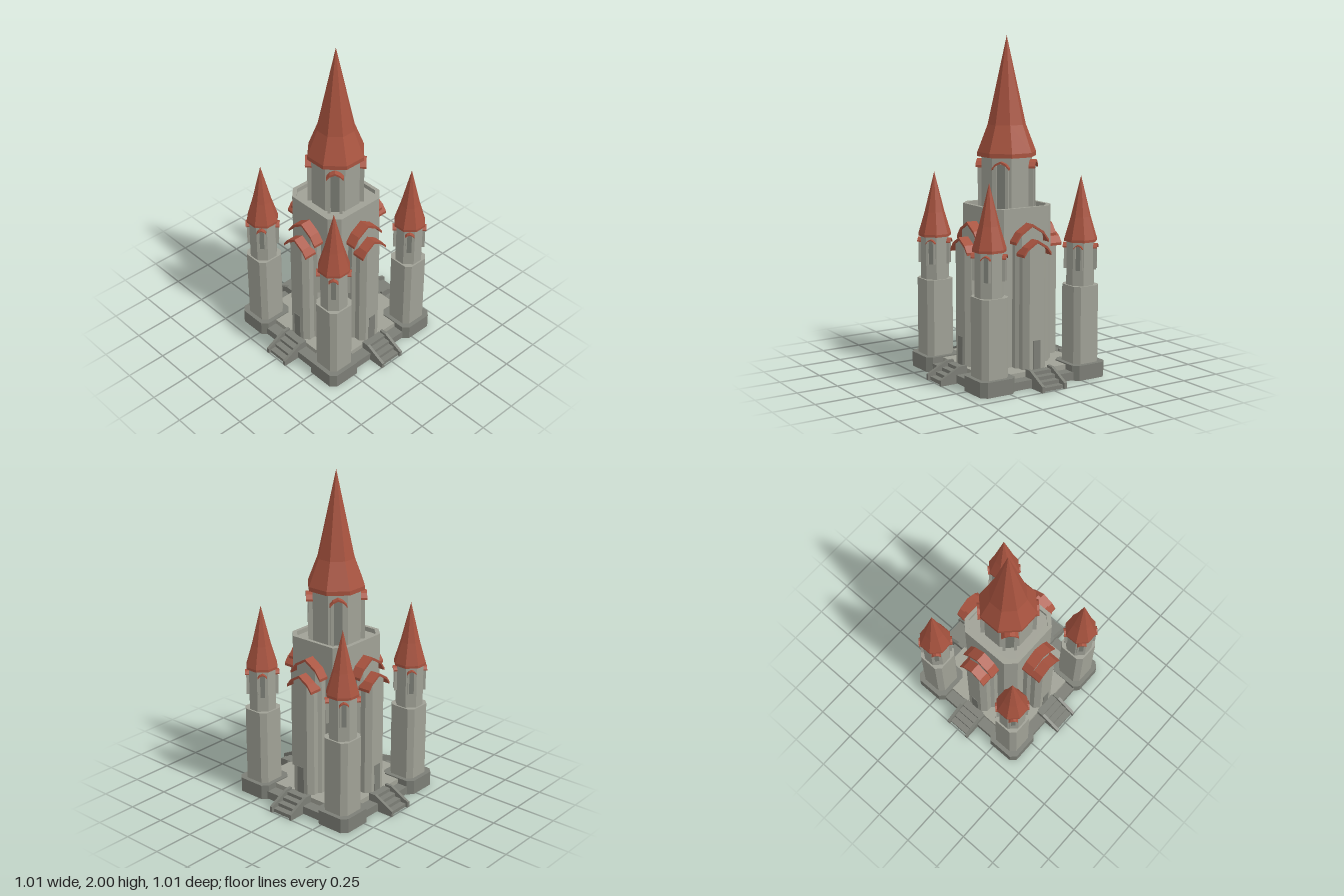
import * as THREE from 'three';

const mat = (color) => new THREE.MeshStandardMaterial({ color, flatShading: true });
const LIGHT = mat(0xa0a196), DARK = mat(0x7c7e76), RED = mat(0xa8533f);

function add(parent, name, geometry, material) {
  const mesh = new THREE.Mesh(geometry, material);
  mesh.name = name;
  parent.add(mesh);
  return mesh;
}

function box(parent, name, material, x, y0, y1, z0, z1, width) {
  const mesh = add(parent, name, new THREE.BoxGeometry(width, y1 - y0, z1 - z0), material);
  mesh.position.set(x, (y0 + y1) / 2, (z0 + z1) / 2);
  return mesh;
}

// Square outline with cut corners
function cutSquare(Type, h, c) {
  const k = h - c;
  const pts = [[h, -k], [h, k], [k, h], [-k, h], [-h, k], [-h, -k], [-k, -h], [k, -h]];
  return new Type(pts.map(([x, y]) => new THREE.Vector2(x, y)));
}

// Upright prism from a plan shape (shape y is -z)
function prism(shape, y0, y1) {
  const g = new THREE.ExtrudeGeometry(shape, { depth: y1 - y0, bevelEnabled: false });
  return g.rotateX(-Math.PI / 2).translate(0, y0, 0);
}
const cutPrism = (h, c, y0, y1) => prism(cutSquare(THREE.Shape, h, c), y0, y1);
const octagon = (h, y0, y1) => cutPrism(h, h * (1 - Math.tan(Math.PI / 8)), y0, y1);

// Eight-sided spire; profile of [flat-side radius, height]
function spire(profile) {
  const k = 1 / Math.cos(Math.PI / 8);
  return new THREE.LatheGeometry(profile.map(([r, y]) => new THREE.Vector2(r * k, y)), 8, Math.PI / 8);
}

// Folded roof strip running along z; half profile from ridge to eave
function foldedRoof(half, thick, z0, z1) {
  const top = [...half.slice(1).reverse().map(([x, y]) => [-x, y]), ...half];
  const low = top.map(([x, y]) => [x, y - thick]).reverse();
  const shape = new THREE.Shape([...top, ...low].map(([x, y]) => new THREE.Vector2(x, y)));
  return new THREE.ExtrudeGeometry(shape, { depth: z1 - z0, bevelEnabled: false }).translate(0, 0, z0);
}

function roofHeight(half, x) {
  const a = Math.abs(x);
  let i = 1;
  while (i < half.length - 1 && a > half[i][0]) i++;
  const [x0, y0] = half[i - 1], [x1, y1] = half[i];
  return y0 + ((a - x0) / (x1 - x0)) * (y1 - y0);
}

// Projecting bay with cut front corners and a top that follows its roof
function bay(parent, name, half, w, flat, front, roofBack, roofFront) {
  const zc = front - (w - flat);
  const plan = [[0, -0.1], [-w, -0.1], [-w, -zc], [-flat, -front], [0, -front], [flat, -front], [w, -zc], [w, -0.1]];
  const g = prism(new THREE.Shape(plan.map(([x, y]) => new THREE.Vector2(x, y))), 0.05, 0.7);
  const p = g.attributes.position;
  for (let i = 0; i < p.count; i++) {
    if (p.getY(i) > 0.5) p.setY(i, roofHeight(half, p.getX(i)) - 0.008);
  }
  g.computeVertexNormals();
  add(parent, name + 'Wall', g, LIGHT);
  add(parent, name + 'Roof', foldedRoof(half, 0.016, roofBack, roofFront), RED);
}

// Gabled window standing out from a drum, facing +z
function dormer(parent, angle, hw, y0, peak, zBack, zFront) {
  const g = new THREE.Group();
  g.name = 'dormer';
  const eave = peak - hw * 0.75, post = hw * 0.35, wall = zFront - hw * 0.25;
  for (const s of [-1, 1]) {
    box(g, 'dormerPost', LIGHT, s * (hw * 0.85 - post / 2), y0, eave + hw * 0.12, zBack, wall, post);
  }
  box(g, 'windowPane', DARK, 0, y0, peak - hw * 0.4, zBack, wall - hw * 0.35, hw * 1.0);
  const half = [[0, peak], [hw * 0.6, peak - hw * 0.28], [hw, eave]];
  add(g, 'dormerRoof', foldedRoof(half, hw * 0.25, zBack, zFront), RED);
  g.rotation.y = angle;
  parent.add(g);
}

function cornerTower() {
  const g = new THREE.Group();
  g.name = 'cornerTower';
  add(g, 'plinth', cutPrism(0.115, 0.032, 0, 0.09), DARK);
  add(g, 'towerShaft', cutPrism(0.088, 0.03, 0.09, 0.552), LIGHT);
  add(g, 'towerDrum', octagon(0.078, 0.552, 0.815), LIGHT);
  add(g, 'towerSpire', spire([[0, 0.81], [0.091, 0.81], [0.091, 0.825], [0.055, 0.955], [0, 1.195]]), RED);
  for (let i = 0; i < 4; i++) dormer(g, Math.PI / 4 + i * Math.PI / 2, 0.028, 0.645, 0.798, 0.06, 0.102);
  return g;
}

// Stairs with sloping side walls, leading down towards +z
function stairs(parent) {
  [0.37, 0.41, 0.45, 0.49].forEach((z, i) => {
    box(parent, 'step', DARK, 0, 0, 0.085 - i * 0.021, 0.32, z, 0.134);
  });
  const side = [[0.33, 0], [0.505, 0], [0.505, 0.035], [0.375, 0.1], [0.33, 0.1]];
  const shape = new THREE.Shape(side.map(([z, y]) => new THREE.Vector2(z, y)));
  for (const x of [-0.085, 0.067]) {
    const g = new THREE.ExtrudeGeometry(shape, { depth: 0.018, bevelEnabled: false });
    g.rotateY(-Math.PI / 2).translate(x + 0.018, 0, 0);
    add(parent, 'stairWall', g, DARK);
  }
}

export function createModel() {
  const model = new THREE.Group();
  model.name = 'castle';

  // Stepped platform
  box(model, 'platform', DARK, 0, 0.004, 0.053, -0.4, 0.4, 0.8);
  box(model, 'floor', LIGHT, 0, 0.053, 0.083, -0.33, 0.33, 0.66);

  // Central keep with a low parapet
  add(model, 'keep', cutPrism(0.21, 0.058, 0.05, 0.99), LIGHT);
  const rim = cutSquare(THREE.Shape, 0.21, 0.058);
  rim.holes.push(cutSquare(THREE.Path, 0.188, 0.05));
  add(model, 'parapet', prism(rim, 0.99, 1.017), LIGHT);

  // Upper drum and main spire
  add(model, 'drum', octagon(0.14, 0.99, 1.31), LIGHT);
  add(model, 'mainSpire', spire([[0, 1.3], [0.162, 1.3], [0.162, 1.325], [0.105, 1.485], [0, 2]]), RED);
  for (let i = 0; i < 4; i++) dormer(model, Math.PI / 4 + i * Math.PI / 2, 0.05, 0.99, 1.282, 0.12, 0.178);

  // Four identical sides: two bays, door and stairs
  const highRoof = [[0, 0.93], [0.077, 0.882], [0.113, 0.832]];
  const lowRoof = [[0, 0.844], [0.066, 0.803], [0.094, 0.765]];
  for (let i = 0; i < 4; i++) {
    const side = new THREE.Group();
    side.name = 'side';
    bay(side, 'innerBay', highRoof, 0.097, 0.07, 0.268, 0.2, 0.277);
    bay(side, 'outerBay', lowRoof, 0.08, 0.05, 0.322, 0.25, 0.332);
    box(side, 'door', DARK, 0, 0.083, 0.255, 0.31, 0.325, 0.05);
    stairs(side);
    side.rotation.y = i * Math.PI / 2;
    model.add(side);
  }

  // Corner towers
  for (const x of [-1, 1]) {
    for (const z of [-1, 1]) {
      const tower = cornerTower();
      tower.position.set(x * 0.315, 0, z * 0.31);
      model.add(tower);
    }
  }
  return model;
}
